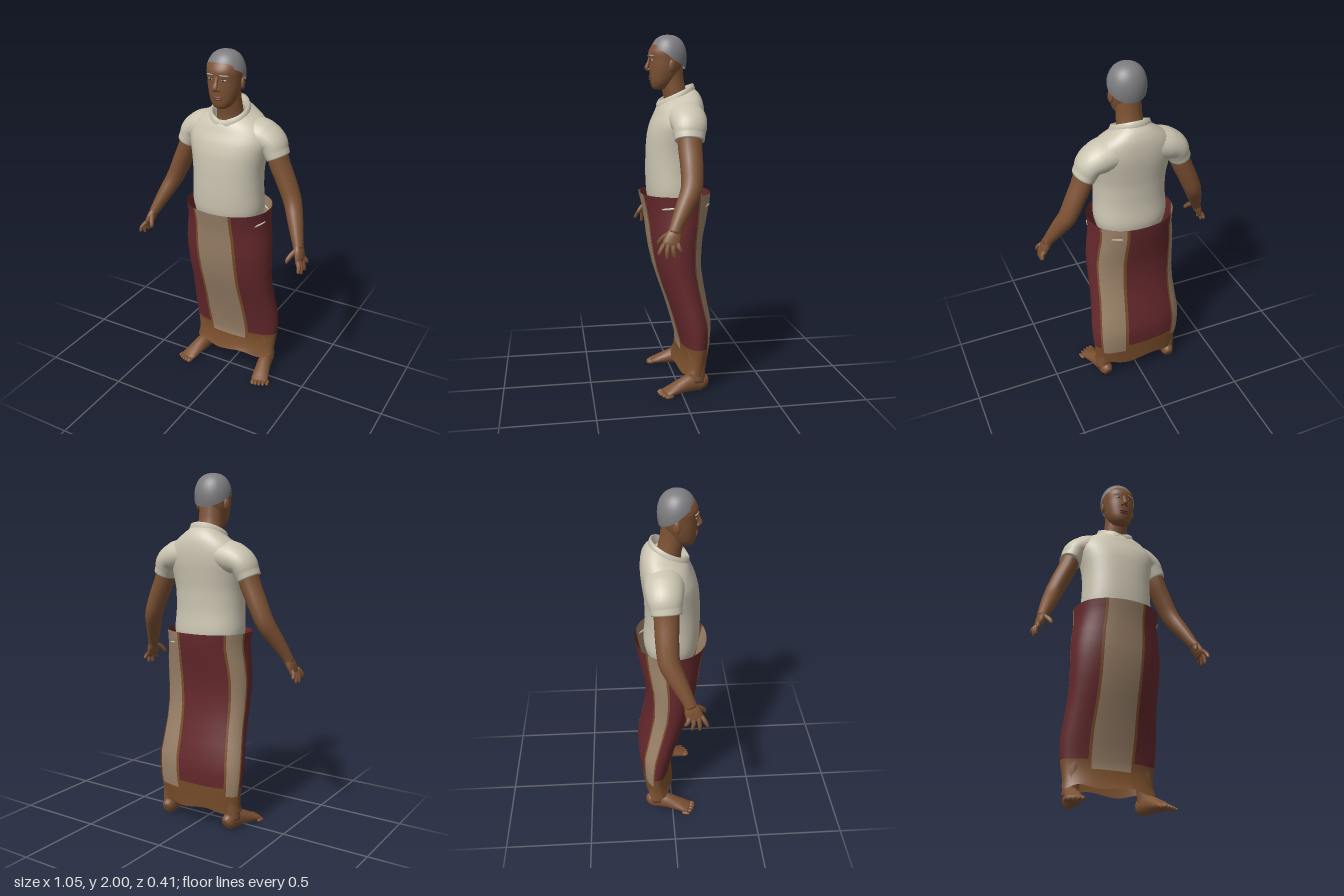
import * as THREE from 'three';

const mat = (name, color, side = THREE.FrontSide) => {
  const m = new THREE.MeshStandardMaterial({ color, side });
  m.name = name;
  return m;
};
const lerp = THREE.MathUtils.lerp;
const rad = THREE.MathUtils.degToRad;
const V = (x, y, z) => new THREE.Vector3(x, y, z);

// Skin closed rings of points; cellMat(i, j) may pick a material index per cell
function skin(rows, cellMat = () => 0, count = 1) {
  const n = rows[0].length, pos = [], lists = Array.from({ length: count }, () => []);
  rows.forEach(r => r.forEach(p => pos.push(p.x, p.y, p.z)));
  for (let i = 0; i < rows.length - 1; i++) {
    for (let j = 0; j < n; j++) {
      const a = i * n + j, b = i * n + (j + 1) % n;
      lists[cellMat(i, j)].push(a, b, b + n, a, b + n, a + n);
    }
  }
  const g = new THREE.BufferGeometry();
  g.setAttribute('position', new THREE.Float32BufferAttribute(pos, 3));
  g.setIndex(lists.flat());
  let start = 0;
  if (count > 1) lists.forEach((l, k) => { g.addGroup(start, l.length, k); start += l.length; });
  g.computeVertexNormals();
  return g;
}

// Horizontal oval ring from [y, halfWidth, zFront, zBack, tilt]
function oval([y, rx, zf, zb, tilt = 0], angles, power = 1) {
  const f = v => Math.sign(v) * Math.abs(v) ** power;
  return angles.map(a => V(rx * f(Math.sin(a)), y - tilt * Math.cos(a),
    (zf + zb) / 2 + (zf - zb) / 2 * f(Math.cos(a))));
}
const turn = n => Array.from({ length: n }, (_, i) => i / n * Math.PI * 2);
const centre = row => {
  const c = row.reduce((s, p) => s.add(p), V(0, 0, 0)).divideScalar(row.length);
  return row.map(() => c.clone());
};

// Smoothed stack of ovals
function stack(sections, n, power, capTop) {
  const full = sections.map(s => [s[0], s[1], s[2], s[3], s[4] || 0]);
  const a = new THREE.CatmullRomCurve3(full.map(s => V(s[0], s[1], s[4])));
  const b = new THREE.CatmullRomCurve3(full.map(s => V(s[2], s[3], 0)));
  const rows = [];
  for (let i = 0; i <= n; i++) {
    const p = a.getPoint(i / n), q = b.getPoint(i / n);
    rows.push(oval([p.x, p.y, q.x, q.y, p.z], turn(40), power));
  }
  rows.unshift(centre(rows[0]));
  if (capTop) rows.push(centre(rows[rows.length - 1]));
  return skin(rows);
}

// Tapered limb through [x, y, z, radius along ref, other radius]
function limb(points, s = 1, ref = V(0, 0, 1), n = 18, sides = 16) {
  const curve = new THREE.CatmullRomCurve3(points.map(p => V(p[0] * s, p[1], p[2])));
  const rows = [];
  for (let i = 0; i <= n; i++) {
    const t = i / n, k = t * (points.length - 1), i0 = Math.min(Math.floor(k), points.length - 2);
    const r = e => lerp(points[i0][e] ?? points[i0][3], points[i0 + 1][e] ?? points[i0 + 1][3], k - i0);
    const c = curve.getPoint(t), T = curve.getTangent(t);
    const U = ref.clone().addScaledVector(T, -ref.dot(T)).normalize();
    const W = T.clone().cross(U);
    rows.push(turn(sides).map(a => c.clone().addScaledVector(U, Math.cos(a) * r(3)).addScaledVector(W, Math.sin(a) * r(4))));
  }
  rows.unshift(centre(rows[0]));
  rows.push(centre(rows[rows.length - 1]));
  return skin(rows);
}

export function createModel() {
  const root = new THREE.Group();
  root.name = 'standingMan';
  const D = THREE.DoubleSide;
  const skinM = mat('skin', 0x7d5234), hair = mat('grey hair', 0x7d7d80, D), shirt = mat('cream shirt', 0xcbc4b1, D);
  const maroon = mat('maroon cloth', 0x66292d, D), tan = mat('tan stripe', 0x9c836a, D), hem = mat('brown hem', 0x7b4f2c, D);
  const brow = mat('pale brow', 0x9a948c), white = mat('eye white', 0xb8aea2), dark = mat('eye dark', 0x2a1c14), lip = mat('lips', 0x6b4032);
  const add = (name, geo, m) => {
    const mesh = new THREE.Mesh(geo, m);
    mesh.name = name;
    root.add(mesh);
    return mesh;
  };
  const blob = (name, m, x, y, z, rx, ry, rz, rotY = 0, rotZ = 0) => {
    const b = add(name, new THREE.SphereGeometry(1, 16, 10), m);
    b.position.set(x, y, z);
    b.scale.set(rx, ry, rz);
    b.rotation.set(0, rotY, rotZ);
    return b;
  };

  // Wrapped skirt: [startDegrees, endDegrees, material, columns]
  const bands = [[-30, -26, 2, 1], [-26, 20, 1, 8], [20, 24, 2, 1], [24, 118, 0, 14], [118, 122, 2, 1], [122, 160, 1, 6],
    [160, 164, 2, 1], [164, 226, 0, 9], [226, 230, 2, 1], [230, 260, 1, 5], [260, 264, 2, 1], [264, 330, 0, 10]];
  const angles = [], colMat = [];
  for (const [a, b, m, n] of bands) {
    for (let i = 0; i < n; i++) { angles.push(rad(lerp(a, b, i / n))); colMat.push(m); }
  }
  const skirt = [[0.11, 0.268, 0.01, -0.17], [0.15, 0.262, -0.005, -0.175], [0.21, 0.268, -0.013, -0.182],
    [0.26, 0.275, -0.008, -0.19], [0.33, 0.28, 0.01, -0.197], [0.4, 0.28, 0.03, -0.198], [0.5, 0.27, 0.06, -0.178],
    [0.6, 0.262, 0.095, -0.16], [0.7, 0.262, 0.127, -0.145], [0.8, 0.265, 0.15, -0.147], [0.88, 0.265, 0.163, -0.155],
    [0.96, 0.258, 0.172, -0.172], [1.04, 0.246, 0.185, -0.188], [1.09, 0.247, 0.197, -0.197], [1.13, 0.25, 0.206, -0.2]];
  const skirtRows = skirt.map(s => oval(s, angles, 0.92));
  skirtRows[0].forEach((p, j) => { p.y += 0.01 * Math.sin(angles[j] * 6); });
  add('wrappedSkirt', skin(skirtRows, (i, j) => {
    if (i < 2) return 2;
    return i === 2 && colMat[j] !== 1 ? 2 : colMat[j];
  }, 3), [maroon, tan, hem]);

  // Slivers of shirt at the waist
  for (const a of [70, 145]) {
    const t = rad(a);
    blob('waistFold', shirt, 0.246 * Math.sin(t) ** 0.92, 1.065,
      Math.sign(Math.cos(t)) * 0.19 * Math.abs(Math.cos(t)) ** 0.92, 0.042, 0.006, 0.005, t, 0.1);
  }

  // Shirt body
  add('shirtBody', stack([[1.06, 0.195, 0.145, -0.14], [1.13, 0.21, 0.16, -0.15], [1.25, 0.205, 0.165, -0.14],
    [1.36, 0.207, 0.163, -0.142], [1.45, 0.222, 0.155, -0.152], [1.52, 0.235, 0.138, -0.16, 0.005],
    [1.58, 0.22, 0.115, -0.16, 0.012], [1.625, 0.178, 0.1, -0.152, 0.02], [1.655, 0.132, 0.09, -0.132, 0.032],
    [1.675, 0.098, 0.083, -0.1, 0.042]], 36, 0.9), shirt);

  // Folded collar with an open front notch
  const collarAngles = turn(40);
  const ring = (r, dy) => collarAngles.map(a => {
    const notch = Math.exp(-((Math.sin(a / 2) / 0.14) ** 2));
    return V(r * Math.sin(a), 1.672 - 0.047 * Math.cos(a) + dy * (1 - 0.8 * notch), -0.005 + (r - 0.004) * Math.cos(a));
  });
  add('collar', skin([ring(0.112, -0.03), ring(0.113, -0.005), ring(0.104, 0.018), ring(0.092, 0.014), ring(0.084, -0.03)]), shirt);

  // Neck and head
  add('neck', limb([[0, 1.56, -0.02, 0.075, 0.085], [0, 1.66, -0.005, 0.066, 0.074], [0, 1.74, 0.012, 0.066, 0.07],
    [0, 1.83, 0.025, 0.07, 0.07]]), skinM);
  add('head', stack([[1.702, 0.03, 0.112, 0.05], [1.712, 0.046, 0.125, 0.03], [1.74, 0.066, 0.135, 0], [1.78, 0.08, 0.139, -0.025],
    [1.82, 0.088, 0.142, -0.042], [1.86, 0.092, 0.143, -0.05], [1.9, 0.094, 0.147, -0.054],
    [1.94, 0.087, 0.13, -0.048], [1.97, 0.06, 0.1, -0.022]], 30, 0.95, true), skinM);
  add('nose', limb([[0, 1.885, 0.138, 0.006, 0.01], [0, 1.85, 0.147, 0.009, 0.011], [0, 1.82, 0.157, 0.012, 0.015],
    [0, 1.806, 0.152, 0.006, 0.013]]), skinM);
  blob('upperLip', lip, 0, 1.771, 0.136, 0.03, 0.007, 0.011);
  blob('lowerLip', lip, 0, 1.758, 0.134, 0.025, 0.008, 0.011);

  // Hair cap, low at the nape and high on the forehead
  const hairRows = [];
  for (let i = 0; i <= 14; i++) {
    hairRows.push(turn(40).map(a => {
      const c = Math.cos(a);
      const line = c > 0 ? lerp(1.872, 1.935, c ** 0.7) : lerp(1.872, 1.815, -c);
      const phi = lerp(Math.asin((line - 1.88) / 0.12), Math.PI / 2, i / 14);
      const r = phi < 0 ? 1 - 0.28 * Math.sin(phi) ** 2 : Math.max(0, Math.cos(phi)) ** 0.8;
      return V(0.106 * r * Math.sin(a), 1.88 + 0.12 * Math.sin(phi), 0.036 + 0.103 * r * c);
    }));
  }
  add('hair', skin(hairRows), hair);

  for (const s of [1, -1]) {
    const side = s > 0 ? 'left' : 'right';
    // Face details
    blob(side + 'Ear', skinM, s * 0.095, 1.832, 0.028, 0.011, 0.034, 0.02, s * 0.3);
    blob(side + 'Nostril', skinM, s * 0.014, 1.812, 0.144, 0.01, 0.009, 0.012);
    blob(side + 'Eye', white, s * 0.038, 1.862, 0.131, 0.016, 0.006, 0.009, s * 0.35);
    blob(side + 'Pupil', dark, s * 0.037, 1.862, 0.137, 0.006, 0.006, 0.005, s * 0.35);
    blob(side + 'Brow', brow, s * 0.042, 1.886, 0.135, 0.027, 0.005, 0.008, s * 0.4, -s * 0.08);

    // Sleeve and arm
    add(side + 'Sleeve', limb([[0.1, 1.56, -0.035, 0.11, 0.09], [0.19, 1.54, -0.04, 0.105, 0.088], [0.243, 1.513, -0.04, 0.095, 0.074],
      [0.265, 1.47, -0.036, 0.085, 0.066], [0.28, 1.438, -0.034, 0.08, 0.063]], s, undefined, 20, 24), shirt);
    add(side + 'Arm', limb([[0.262, 1.49, -0.035, 0.068, 0.056], [0.29, 1.4, -0.035, 0.066, 0.056], [0.335, 1.3, -0.035, 0.062, 0.054],
      [0.378, 1.2, -0.026, 0.058, 0.05], [0.418, 1.11, 0.018, 0.048, 0.043], [0.457, 1.02, 0.065, 0.036, 0.032],
      [0.474, 0.98, 0.083, 0.034, 0.026]], s, undefined, 24), skinM);

    // Hand
    add(side + 'Palm', limb([[0.465, 1.0, 0.074, 0.032, 0.026], [0.48, 0.965, 0.088, 0.044, 0.024], [0.492, 0.93, 0.1, 0.048, 0.018],
      [0.497, 0.912, 0.105, 0.042, 0.012]], s), skinM);
    [[0.068, 0.05, 0.89], [0.092, 0.086, 0.862], [0.117, 0.126, 0.858], [0.138, 0.168, 0.88]].forEach(([z0, z1, y]) =>
      add(side + 'Finger', limb([[0.492, 0.935, z0, 0.013, 0.013], [0.511, (0.935 + y) / 2, (z0 + z1) / 2 + 0.004, 0.012],
        [0.513, y + 0.005, z1, 0.009], [0.511, y, z1, 0.004]], s, undefined, 9, 8), skinM));
    add(side + 'Thumb', limb([[0.472, 0.985, 0.1, 0.016], [0.452, 0.96, 0.135, 0.014], [0.44, 0.935, 0.155, 0.012],
      [0.438, 0.92, 0.162, 0.005]], s, V(1, 0, 0), 9, 8), skinM);

    // Leg and foot
    add(side + 'Leg', limb([[0.14, 0.6, -0.035, 0.075, 0.075], [0.175, 0.35, -0.09, 0.068, 0.065], [0.212, 0.16, -0.092, 0.05, 0.045],
      [0.22, 0.06, -0.09, 0.048, 0.042]], s), skinM);
    add(side + 'Foot', limb([[0.208, 0.04, -0.148, 0.03, 0.024], [0.211, 0.052, -0.125, 0.05, 0.038], [0.222, 0.054, -0.05, 0.052, 0.042],
      [0.238, 0.038, 0.02, 0.036, 0.046], [0.252, 0.023, 0.075, 0.022, 0.051], [0.26, 0.016, 0.102, 0.015, 0.046]],
      s, V(0, 1, 0), 20, 18), skinM);
    for (let i = 0; i < 5; i++) {
      blob(side + 'Toe', skinM, s * (0.225 + i * 0.02), 0.015 - i * 0.001, 0.114 - i * i * 0.0022,
        i ? 0.0105 : 0.015, 0.014 - i * 0.001, 0.026, s * 0.25);
    }
  }
  return root;
}
